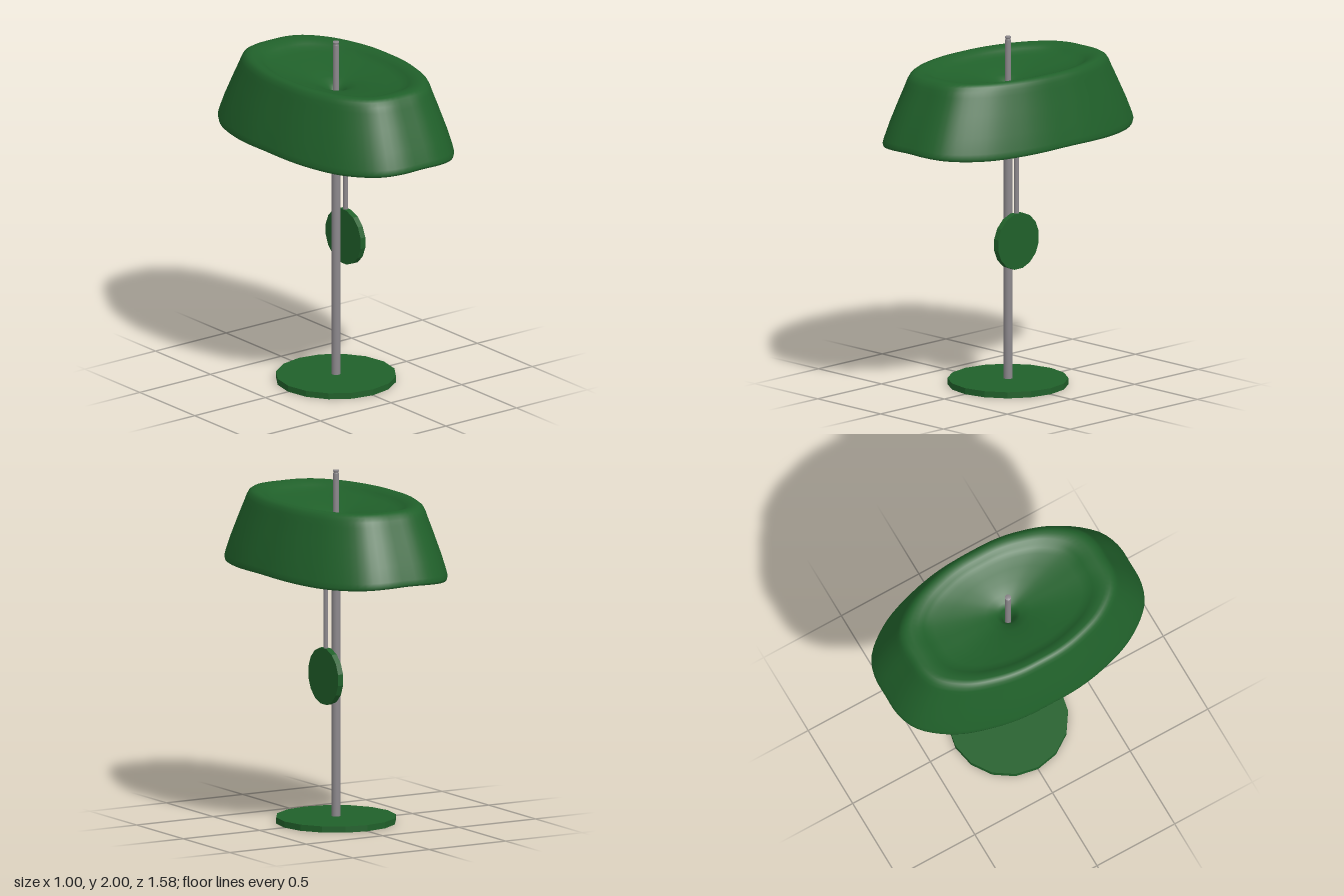
import * as THREE from 'three';

const greenFlat = new THREE.MeshStandardMaterial({ color: 0x20602a, flatShading: true });
const greenShell = new THREE.MeshStandardMaterial({ color: 0x20602a, side: THREE.DoubleSide });
const bowlGreen = new THREE.MeshStandardMaterial({ color: 0x3a7a50, side: THREE.DoubleSide });
const metal = new THREE.MeshStandardMaterial({ color: 0x8c888c });

function add(group, name, geometry, material, x = 0, y = 0, z = 0) {
  const mesh = new THREE.Mesh(geometry, material);
  mesh.name = name;
  mesh.position.set(x, y, z);
  group.add(mesh);
}

// Vertical rod between two heights
function rod(group, name, radius, y0, y1, x = 0) {
  add(group, name, new THREE.CylinderGeometry(radius, radius, y1 - y0, 16), metal, x, (y0 + y1) / 2, 0);
}

// Rim outline seen from above: one quarter, mirrored to the other three
function rimOutline(count) {
  const q = [[0.5, 0], [0.495, 0.17], [0.465, 0.34], [0.385, 0.565], [0.25, 0.735], [0.13, 0.785]];
  const half = [...q, [0, 0.79], ...q.slice(1).reverse().map(([x, z]) => [-x, z])];
  const all = [...half, ...half.map(([x, z]) => [-x, -z])];
  const curve = new THREE.CatmullRomCurve3(all.map(([x, z]) => new THREE.Vector3(x, 0, z)), true);
  return curve.getSpacedPoints(count).slice(0, count);
}

// Shade: rings of the outline, scaled along a profile and blending to a round funnel
function shadeGeometry() {
  const N = 96;
  const outline = rimOutline(N);
  // [scale of outline, height, roundness, share of the rim wave]
  const rings = [
    [0.975, 1.447, 0, 1], [0.983, 1.437, 0, 1], [0.995, 1.438, 0, 1], [1, 1.453, 0, 0.9], [0.99, 1.48, 0, 0.7],
    [0.945, 1.57, 0, 0.4], [0.875, 1.69, 0, 0.1], [0.82, 1.78, 0, 0], [0.803, 1.81, 0, 0],
    [0.782, 1.834, 0, 0], [0.75, 1.848, 0, 0], [0.71, 1.85, 0, 0], [0.66, 1.843, 0, 0],
    [0.62, 1.828, 0, 0], [0.59, 1.815, 0, 0], [0.54, 1.804, 0, 0], [0.44, 1.79, 0.1, 0],
    [0.32, 1.772, 0.3, 0], [0.21, 1.752, 0.6, 0], [0.13, 1.73, 0.9, 0],
    [0.085, 1.7, 1, 0], [0.058, 1.65, 1, 0], [0.046, 1.59, 1, 0], [0.042, 1.53, 1, 0],
  ];
  const pos = [], index = [];
  rings.forEach(([s, y, round, wave], r) => {
    outline.forEach((p, i) => {
      const a = Math.atan2(p.z / 0.79, p.x / 0.5);
      const lift = (0.022 * Math.sin(a) ** 6 + 0.018 * Math.cos(a) ** 8) * wave;
      pos.push(
        THREE.MathUtils.lerp(p.x, 0.5 * Math.cos(a), round) * s,
        y + lift,
        THREE.MathUtils.lerp(p.z, 0.5 * Math.sin(a), round) * s);
      if (r === rings.length - 1) return;
      const j = (i + 1) % N, A = r * N + i, B = r * N + j;
      index.push(A, A + N, B, B, A + N, B + N);
    });
  });
  const g = new THREE.BufferGeometry();
  g.setAttribute('position', new THREE.Float32BufferAttribute(pos, 3));
  g.setIndex(index);
  g.computeVertexNormals();
  return g;
}

export function createModel() {
  const lamp = new THREE.Group();
  lamp.name = 'tableLamp';

  // Foot and pole
  add(lamp, 'base', new THREE.CylinderGeometry(0.338, 0.338, 0.035, 16), greenFlat, 0, 0.0175, 0);
  rod(lamp, 'pole', 0.025, 0.03, 1.46);

  // Upper stem with a grooved tip
  const stem = [[0, 1.42], [0.018, 1.42], [0.018, 1.98], [0.014, 1.983], [0.014, 1.989],
    [0.018, 1.992], [0.018, 2], [0, 2]].map(([x, y]) => new THREE.Vector2(x, y));
  add(lamp, 'stem', new THREE.LatheGeometry(stem, 16), metal);

  // Bowl under the shade
  add(lamp, 'bowl', new THREE.SphereGeometry(0.123, 32, 12, 0, Math.PI * 2, Math.PI / 2, Math.PI / 2),
    bowlGreen, 0, 1.525, 0);

  add(lamp, 'shade', shadeGeometry(), greenShell);

  // Pull rod with a hanging disc
  rod(lamp, 'pullRod', 0.014, 0.97, 1.435, 0.067);
  const disc = new THREE.CylinderGeometry(0.162, 0.162, 0.033, 16);
  disc.rotateY(Math.PI / 16).rotateZ(Math.PI / 2);
  add(lamp, 'pullDisc', disc, greenFlat, 0.067, 0.836, 0);

  return lamp;
}
